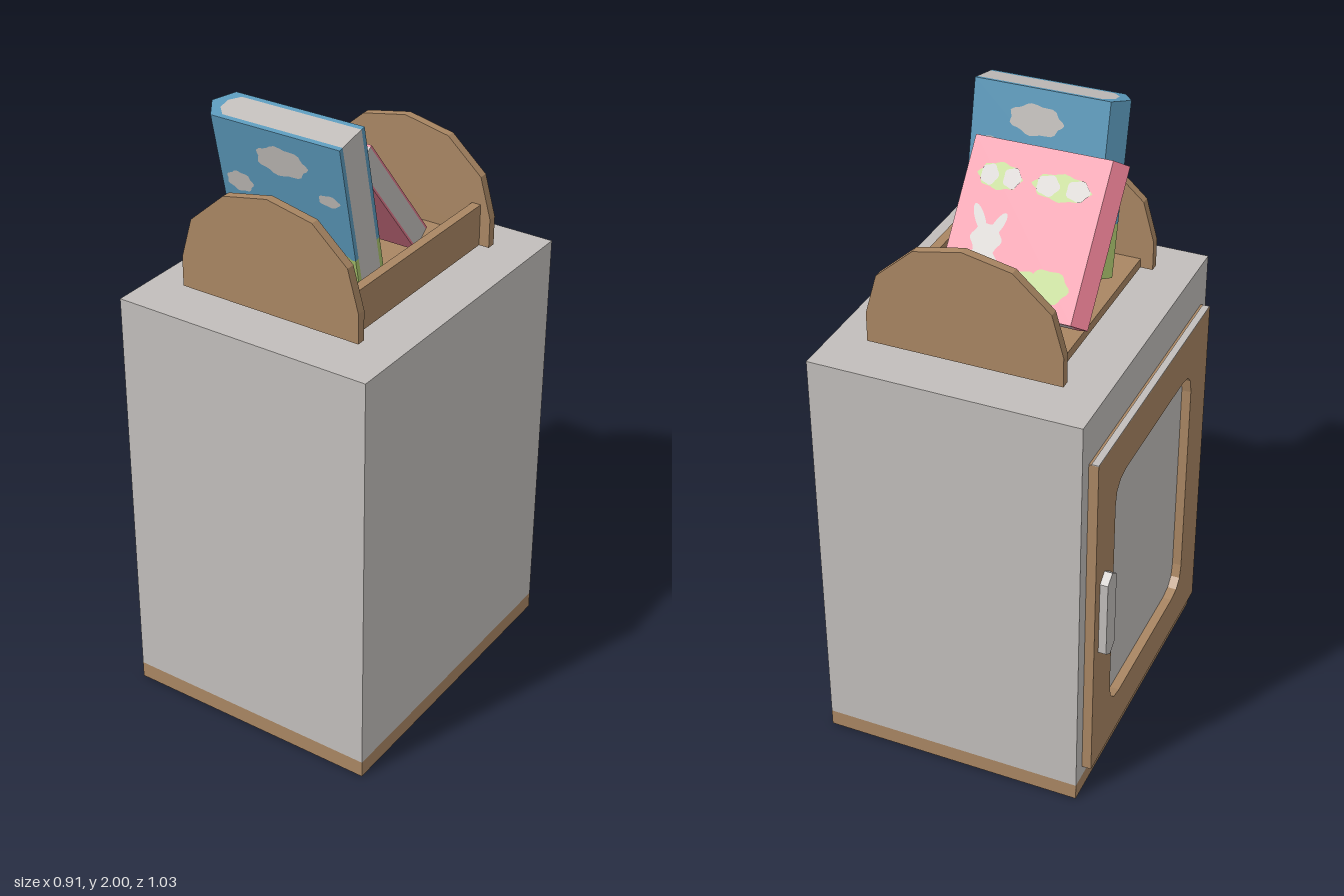
import * as THREE from 'three';

const mat = (name, color) => {
  const m = new THREE.MeshStandardMaterial({ color });
  m.name = name;
  return m;
};

export function createModel() {
  const grey = mat('warmGrey', 0xc2bebb);
  const brown = mat('woodBrown', 0xa98663);
  const blue = mat('bookBlue', 0x5b99bb);
  const pink = mat('bookPink', 0xe17a8e);
  const green = mat('leafGreen', 0xaac46d);

  const root = new THREE.Group();
  root.name = 'cabinetWithBooks';

  const add = (parent, name, geo, material) => {
    const m = new THREE.Mesh(geo, material);
    m.name = name;
    parent.add(m);
    return m;
  };
  // Box given by its minimum and maximum corners
  const box = (parent, name, material, a, b) => {
    const m = add(parent, name, new THREE.BoxGeometry(b[0] - a[0], b[1] - a[1], b[2] - a[2]), material);
    m.position.set((a[0] + b[0]) / 2, (a[1] + b[1]) / 2, (a[2] + b[2]) / 2);
    return m;
  };
  const outline = (pts) => new THREE.Shape(pts.map(([x, y]) => new THREE.Vector2(x, y)));
  const extrude = (shape, depth, curveSegments = 3) =>
    new THREE.ExtrudeGeometry(shape, { depth, bevelEnabled: false, curveSegments });

  // Cabinet and plinth
  box(root, 'plinth', brown, [-0.4, 0, -0.518], [0.455, 0.055, 0.516]);
  box(root, 'cabinetBody', grey, [-0.4, 0.055, -0.518], [0.455, 1.4, 0.516]);

  // Door frame on the -x side: shape drawn in (z, y), turned to face -x
  const door = new THREE.Group();
  door.name = 'door';
  root.add(door);
  const frame = outline([[-0.47, 0.095], [0.47, 0.095], [0.47, 1.25], [-0.47, 1.25]]);
  const [w, y0, y1, r] = [0.325, 0.235, 1.1, 0.085];
  const hole = new THREE.Path();
  hole.moveTo(-w + r, y0);
  hole.lineTo(w - r, y0).quadraticCurveTo(w, y0, w, y0 + r);
  hole.lineTo(w, y1 - r).quadraticCurveTo(w, y1, w - r, y1);
  hole.lineTo(-w + r, y1).quadraticCurveTo(-w, y1, -w, y1 - r);
  hole.lineTo(-w, y0 + r).quadraticCurveTo(-w, y0, -w + r, y0);
  frame.holes.push(hole);
  const onDoor = (name, shape, depth, material, x) => {
    const m = add(door, name, extrude(shape, depth), material);
    m.rotation.y = -Math.PI / 2;
    m.position.x = x;
  };
  onDoor('doorFrame', frame, 0.03, brown, -0.4);
  box(door, 'doorTopEdge', grey, [-0.43, 1.25, -0.47], [-0.408, 1.253, 0.465]);

  // Handle with pointed ends
  onDoor('doorHandle', outline([[-0.435, 0.545], [-0.4, 0.52], [-0.365, 0.545],
    [-0.365, 0.805], [-0.4, 0.83], [-0.435, 0.805]]), 0.026, grey, -0.429);

  // Hinges
  for (const y of [0.335, 0.925]) {
    const h = add(door, 'hinge', new THREE.CylinderGeometry(0.012, 0.012, 0.19, 4), brown);
    h.geometry.scale(1, 1, 1.7);
    h.position.set(-0.412, y, 0.47);
  }

  // Book tray: floor, one side wall and two arched ends
  const tray = new THREE.Group();
  tray.name = 'bookTray';
  root.add(tray);
  box(tray, 'trayFloor', brown, [-0.24, 1.415, -0.341], [0.27, 1.445, 0.341]);
  box(tray, 'trayWall', brown, [0.27, 1.415, -0.341], [0.3, 1.55, 0.341]);
  const half = [[0.307, 1.415], [0.307, 1.51], [0.27, 1.64], [0.152, 1.745]];
  const arch = outline([...half, [0, 1.776], ...half.map(([x, y]) => [-x, y]).reverse()]);
  for (const z of [-0.37, 0.341]) {
    add(tray, 'trayEnd', extrude(arch, 0.029), brown).position.set(0.027, 0, z);
  }

  // Book: pages in a cover with a pointed spine; hinged at its lower front edge.
  // sections lists [material, height] from the bottom up.
  const makeBook = (name, x0, x1, t, c, sections) => {
    const g = new THREE.Group();
    g.name = name;
    root.add(g);
    const xs = x0 + 0.04;
    const cover = outline([[x1, 0], [xs, 0], [x0, t / 2], [xs, t], [x1, t], [x1, t - c],
      [xs + 0.03, t - c], [xs + 0.003, t * 0.65], [xs + 0.003, t * 0.35], [xs + 0.03, c], [x1, c]]);
    const pages = outline([[x1, c], [x1, t - c], [xs + 0.03, t - c],
      [xs + 0.003, t * 0.65], [xs + 0.003, t * 0.35], [xs + 0.03, c]]);
    let y = 0;
    const upright = (part, shape, h, material) => {
      const m = add(g, part, extrude(shape, h), material);
      m.rotation.x = -Math.PI / 2;
      m.position.y = y;
    };
    upright('pages', pages, sections.reduce((s, e) => s + e[1], 0), grey);
    for (const [material, h] of sections) {
      upright('cover', cover, h, material);
      y += h;
    }
    return g;
  };
  // Wavy-edged flat spot on the front (z > 0) or back cover
  const blob = (g, name, material, x, y, bw, bh, z, lobes = 7, tilt = 0) => {
    const pts = Array.from({ length: 32 }, (_, i) => {
      const a = (i / 32) * Math.PI * 2;
      const k = 0.93 + 0.07 * Math.cos(lobes * a);
      return [(bw / 2) * k * Math.cos(a), (bh / 2) * k * Math.sin(a)];
    });
    const m = add(g, name, new THREE.ShapeGeometry(outline(pts)), material);
    m.position.set(x, y, z);
    m.rotation.set(0, z > 0 ? 0 : Math.PI, tilt);
  };

  // Blue book with clouds and green hills on both covers
  const bl = 0.543, bt = 0.123;
  const sky = makeBook('blueBook', -0.21, 0.26, bt, 0.015, [[green, 0.17], [blue, bl - 0.17]]);
  sky.position.set(0, 1.445, 0.2375);
  sky.rotation.x = THREE.MathUtils.degToRad(12.5);
  for (const z of [0.002, -bt - 0.002]) {
    blob(sky, 'largeCloud', grey, 0.055, bl - 0.095, 0.18, 0.1, z);
    blob(sky, 'leftCloud', grey, -0.105, bl - 0.205, 0.095, 0.07, z);
    blob(sky, 'rightCloud', grey, 0.2, bl - 0.185, 0.075, 0.04, z, 5);
    blob(sky, 'hill', green, 0.15, 0.165, 0.2, 0.06, z, 0);
    blob(sky, 'hill', green, -0.07, 0.165, 0.19, 0.05, z, 0);
  }

  // Pink book with a meadow, a rabbit and two patches on its upper cover
  const pl = 0.488, pt = 0.08;
  const tale = makeBook('pinkBook', -0.27, 0.2, pt, 0.007, [[pink, pl]]);
  tale.position.set(0, 1.456, -0.137);
  tale.rotation.x = THREE.MathUtils.degToRad(39);
  const zb = -pt - 0.002;
  blob(tale, 'meadow', green, -0.13, pl - 0.395, 0.14, 0.105, zb, 6);
  blob(tale, 'meadow', green, -0.06, pl - 0.39, 0.09, 0.06, zb, 5);
  blob(tale, 'rabbitBody', grey, 0.087, pl - 0.375, 0.115, 0.13, zb, 4);
  blob(tale, 'rabbitHead', grey, 0.087, pl - 0.295, 0.1, 0.1, zb, 6);
  blob(tale, 'rabbitEar', grey, 0.06, pl - 0.25, 0.03, 0.085, zb, 0, -0.4);
  blob(tale, 'rabbitEar', grey, 0.12, pl - 0.24, 0.03, 0.095, zb, 0, 0.55);
  for (const [x, pw] of [[-0.1, 0.19], [0.093, 0.145]]) {
    blob(tale, 'patch', green, x, pl - 0.108, pw, 0.085, zb, 8);
    for (const s of [-0.27, 0.22]) {
      blob(tale, 'patchSpot', grey, x + s * pw, pl - 0.108, pw * 0.4, 0.066, zb - 0.002, 5);
    }
  }

  return root;
}
